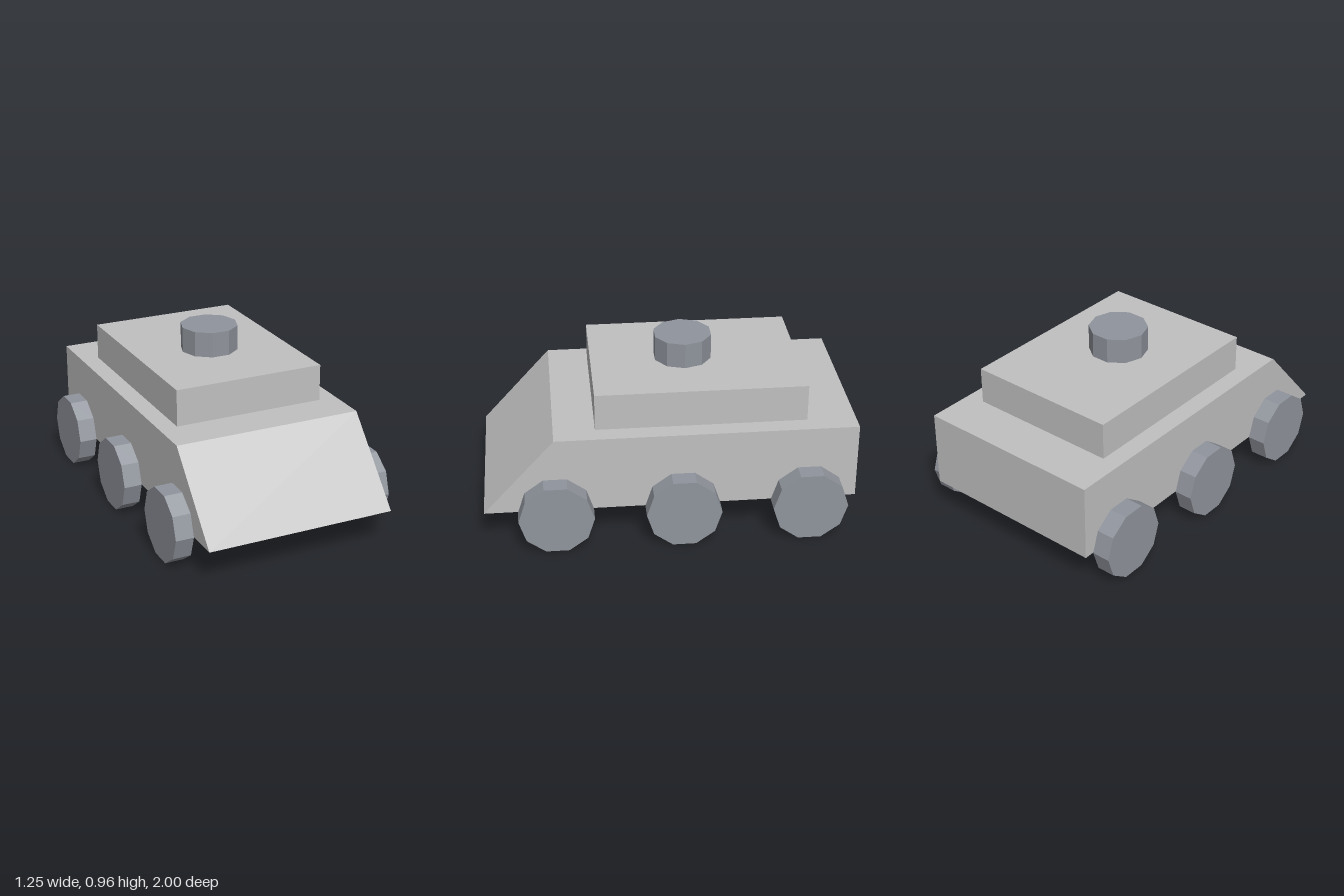
import * as THREE from 'three';

export function createModel() {
  const model = new THREE.Group();
  model.name = 'armouredVehicle';

  const hullGrey = new THREE.MeshStandardMaterial({ color: 0xc0c0c1, flatShading: true });
  hullGrey.name = 'light grey';
  const wheelGrey = new THREE.MeshStandardMaterial({ color: 0x90949c, flatShading: true });
  wheelGrey.name = 'blue grey';

  const add = (name, geometry, material, x, y, z) => {
    const mesh = new THREE.Mesh(geometry, material);
    mesh.name = name;
    mesh.position.set(x, y, z);
    model.add(mesh);
    return mesh;
  };

  // Hull: side profile with a sloped nose, extruded across the width
  const halfWidth = 0.525, bottom = 0.195, deck = 0.617;
  const profile = new THREE.Shape([
    new THREE.Vector2(-1, bottom),
    new THREE.Vector2(1, bottom),
    new THREE.Vector2(0.617, deck),
    new THREE.Vector2(-1, deck),
  ]);
  const hull = new THREE.ExtrudeGeometry(profile, { depth: halfWidth * 2, bevelEnabled: false });
  hull.translate(0, 0, -halfWidth).rotateY(-Math.PI / 2);
  add('hull', hull, hullGrey, 0, 0, 0);

  // Raised cabin on the deck
  const roof = 0.82;
  add('cabin', new THREE.BoxGeometry(0.847, roof - deck, 1.132), hullGrey, 0, (deck + roof) / 2, -0.171);

  // Ten-sided hatch, corners pointing sideways
  const hatch = new THREE.CylinderGeometry(0.16, 0.16, 0.14, 10, 1, false, Math.PI / 2);
  add('hatch', hatch, wheelGrey, 0, roof + 0.07, -0.11);

  // Three ten-sided wheels on each side
  const wheel = new THREE.CylinderGeometry(0.202, 0.202, 0.1, 10).rotateZ(Math.PI / 2);
  for (const side of [1, -1]) {
    ['front', 'middle', 'rear'].forEach((place, i) => {
      const name = place + (side > 0 ? 'Left' : 'Right') + 'Wheel';
      add(name, wheel, wheelGrey, side * (halfWidth + 0.05), 0.192, 0.617 - i * 0.679);
    });
  }

  return model;
}
